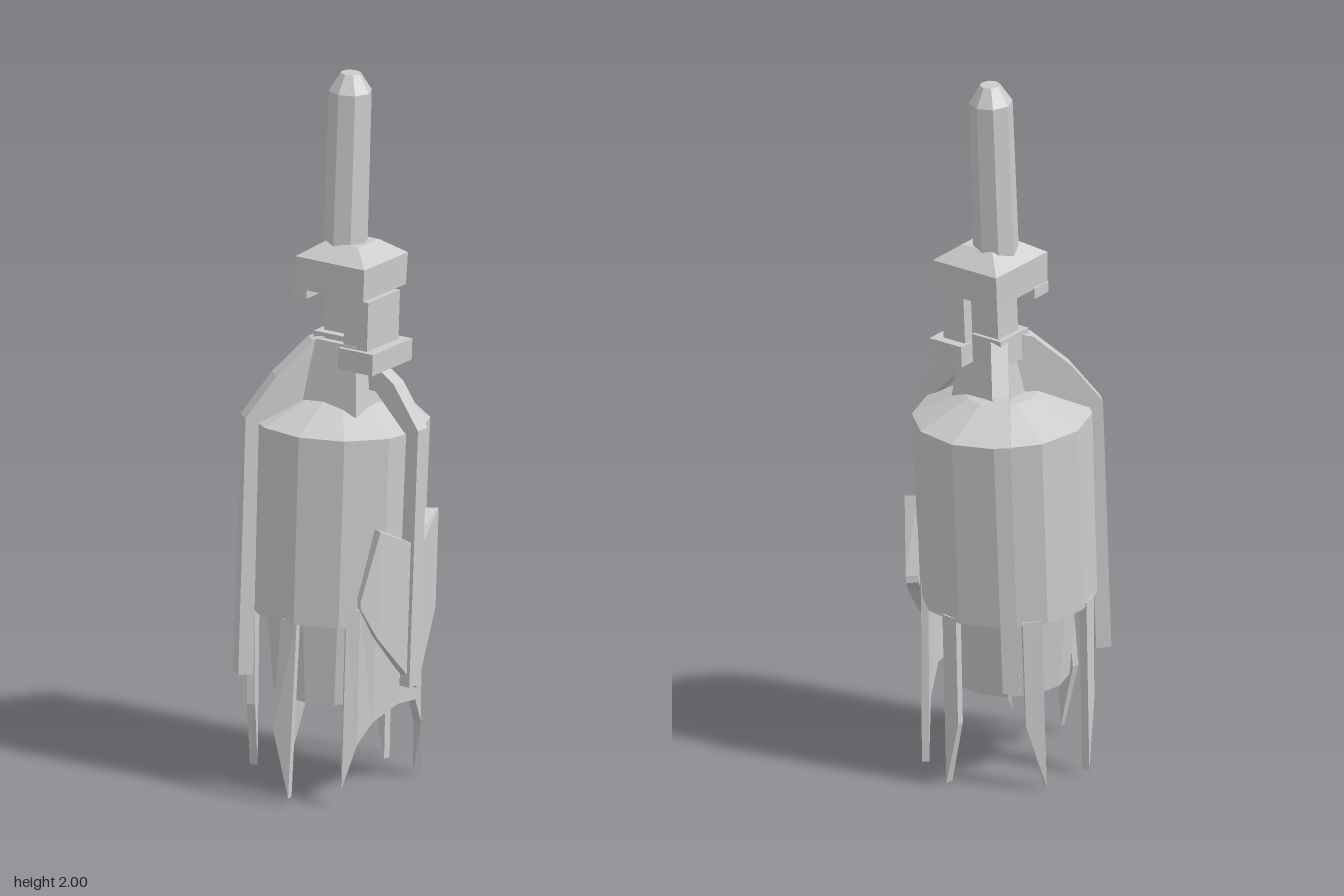
import * as THREE from 'three';

const mat = new THREE.MeshStandardMaterial({ color: 0xcccccc, flatShading: true, side: THREE.DoubleSide });
const rad = THREE.MathUtils.degToRad;

function add(parent, name, geometry, x = 0, y = 0, z = 0, turn = 0) {
  const mesh = new THREE.Mesh(geometry, mat);
  mesh.name = name;
  mesh.position.set(x, y, z);
  mesh.rotation.y = turn;
  parent.add(mesh);
}

const lathe = (points, sides) =>
  new THREE.LatheGeometry(points.map(([r, y]) => new THREE.Vector2(r, y)), sides);

// Solid curved plate; each column is [angle in degrees, outer radius, top y, bottom y, bottom radius]
function plate(columns, thickness) {
  const pos = [], index = [];
  columns.forEach(([deg, r, top, bottom, rb = r], i) => {
    const s = Math.sin(rad(deg)), c = Math.cos(rad(deg));
    for (const [q, y] of [[r, top], [rb, bottom], [rb - thickness, bottom], [r - thickness, top]]) {
      pos.push(s * q, y, c * q);
    }
    if (i === 0) return;
    const a = (i - 1) * 4, b = i * 4;
    for (let k = 0; k < 4; k++) {
      const n = (k + 1) % 4;
      index.push(a + k, a + n, b + n, a + k, b + n, b + k);
    }
  });
  const e = (columns.length - 1) * 4;
  index.push(0, 2, 1, 0, 3, 2, e, e + 1, e + 2, e, e + 2, e + 3);
  const g = new THREE.BufferGeometry();
  g.setAttribute('position', new THREE.Float32BufferAttribute(pos, 3));
  g.setIndex(index);
  g.computeVertexNormals();
  return g;
}

// Bent strap: sloping shoulder from the hub, then straight down the body
function strap(hubY, hubR, underY) {
  const shape = new THREE.Shape([
    [0.03, hubY], [hubR, hubY - 0.02], [0.19, 1.16], [0.274, 1.045], [0.272, 0.32],
    [0.23, 0.32], [0.232, 1.03], [hubR, underY], [0.03, underY],
  ].map(([x, y]) => new THREE.Vector2(x, y)));
  const g = new THREE.ExtrudeGeometry(shape, { depth: 0.046, bevelEnabled: false });
  return g.translate(0, 0, -0.023);
}

export function createModel() {
  const model = new THREE.Group();
  model.name = 'model';
  const tool = new THREE.Group();
  tool.name = 'tiltedAssembly';
  tool.position.set(-0.018, 0, -0.02);
  tool.rotation.z = -0.045;
  model.add(tool);

  // Canister with shallow cone lid and open nozzle below
  add(tool, 'body', lathe([
    [0, 0.45], [0.135, 0.45], [0.135, 0.26], [0.157, 0.26], [0.184, 0.5],
    [0.24, 0.5], [0.245, 1.03], [0.1, 1.095], [0, 1.1],
  ], 12), 0, 0, 0, rad(15));

  // Hub, collar and offset neck
  add(tool, 'hub', new THREE.CylinderGeometry(0.09, 0.125, 0.19, 4), -0.01, 1.165, 0.03, Math.PI / 4 + 0.17);
  add(tool, 'hubCap', new THREE.BoxGeometry(0.12, 0.08, 0.1), 0, 1.235, -0.005, 0.17);
  add(tool, 'collar', new THREE.BoxGeometry(0.2, 0.06, 0.11), 0.025, 1.222, 0.098, 0.17);
  add(tool, 'neck', new THREE.BoxGeometry(0.16, 0.14, 0.075), 0.018, 1.32, 0.088, 0.17);
  add(tool, 'post', new THREE.BoxGeometry(0.085, 0.17, 0.1), 0.01, 1.32, 0.01, 0.17);

  // Square block with low pyramid top and a small lip beneath one corner
  add(tool, 'squareBlock', lathe([
    [0, 1.4], [0.153, 1.4], [0.156, 1.49], [0.075, 1.53], [0, 1.53],
  ], 4), 0.005, 0, 0.02, Math.PI / 4 + 0.17);
  add(tool, 'blockLip', new THREE.BoxGeometry(0.06, 0.03, 0.04), -0.085, 1.39, -0.06, 0.17);

  // Long octagonal rod with chamfered tip
  add(tool, 'rod', lathe([[0, 1.5], [0.062, 1.5], [0.06, 1.95], [0.028, 2.0], [0, 2.0]], 8),
    0, 0, 0, rad(10));

  // Three straps: front, back left, back right; the rear pair have deep shoulders
  for (const [deg, hubY, hubR, underY] of [[7, 1.22, 0.13, 1.13], [139, 1.275, 0.1, 1.09], [239, 1.275, 0.09, 1.09]]) {
    add(tool, 'strap', strap(hubY, hubR, underY), 0, 0, 0, rad(deg) - Math.PI / 2);
  }

  // Front shield plate, standing proud of the body on one side
  add(tool, 'shield', plate([
    [-34, 0.29, 0.59, 0.57], [-23, 0.28, 0.78, 0.48], [11, 0.27, 0.71, 0.31],
    [41, 0.275, 0.78, 0.5], [55, 0.278, 0.57, 0.55],
  ], 0.035));

  // Arched front skirt ending in two claws
  add(tool, 'frontSkirt', plate([
    [-40, 0.236, 0.55, 0.05, 0.25], [-31, 0.238, 0.55, 0.17, 0.246], [-20, 0.24, 0.55, 0.23],
    [0, 0.242, 0.55, 0.27], [22, 0.242, 0.55, 0.26], [37, 0.238, 0.55, 0.18, 0.246],
    [52, 0.236, 0.55, 0.015, 0.252],
  ], 0.02));

  // Prongs around the lower rim: [tip angle, far edge angle, tip radius]
  for (const [tip, edge, r] of [[-73, -85, 0.258], [90, 102, 0.246], [161, 148, 0.23], [201, 215, 0.228]]) {
    add(tool, 'prong', plate([
      [tip, 0.238, 0.51, 0.015, r], [edge, 0.238, 0.51, 0.2, r],
    ], 0.022));
  }
  return model;
}
